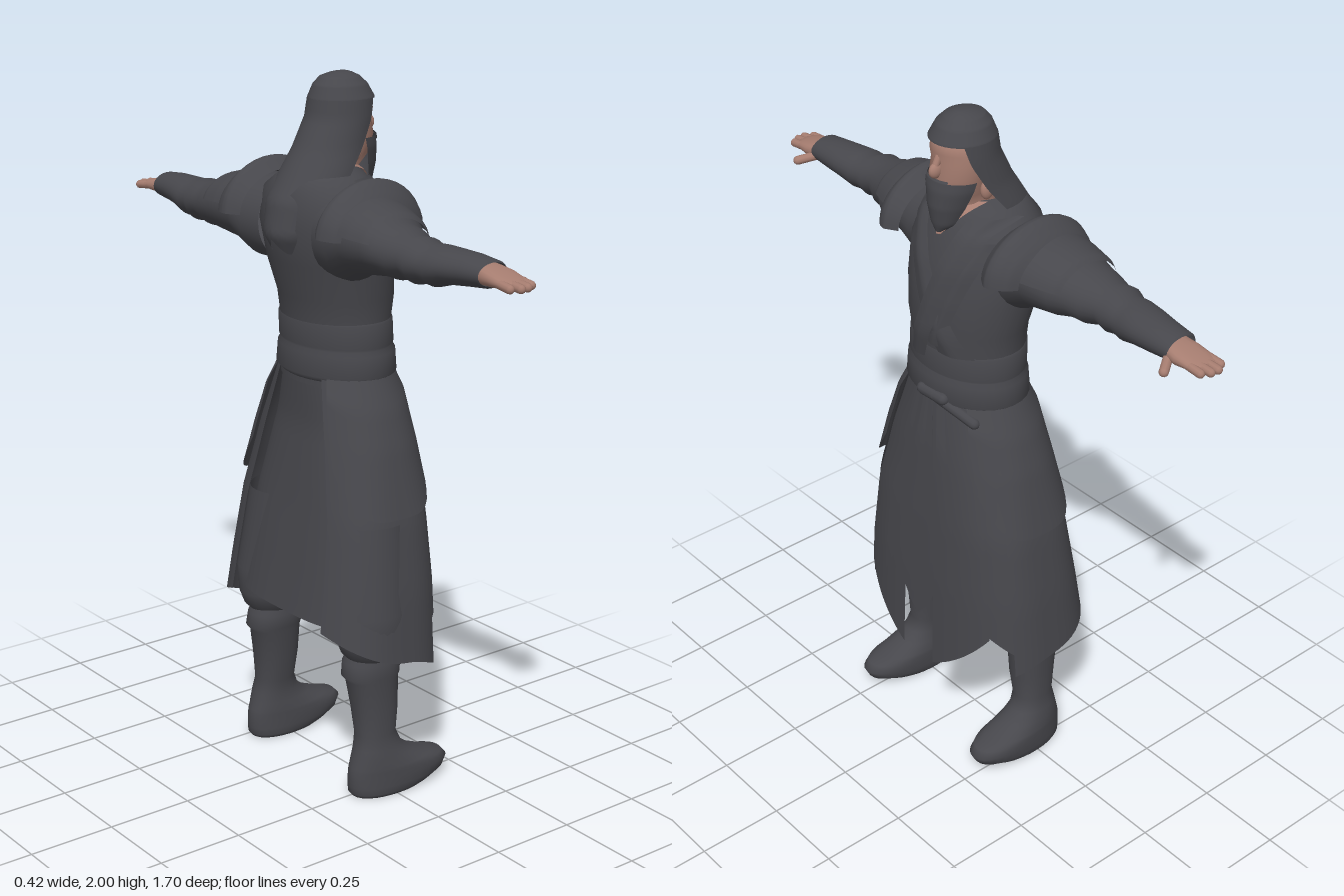
import * as THREE from 'three';
import { mergeVertices } from 'three/addons/utils/BufferGeometryUtils.js';

const cloth = new THREE.MeshStandardMaterial({ color: 0x47474c, side: THREE.DoubleSide });
cloth.name = 'charcoal cloth';
const skin = new THREE.MeshStandardMaterial({ color: 0xa67d70, side: THREE.DoubleSide });
skin.name = 'skin';

const rad = THREE.MathUtils.degToRad;
const lerp = THREE.MathUtils.lerp;
const spow = (v, e) => Math.sign(v) * Math.abs(v) ** e;

// Profiles are rows of [height, half width, front z, back z, centre x], top first
const TORSO = [[1.755, 0.075, 0.06, -0.1], [1.735, 0.115, 0.088, -0.135], [1.69, 0.18, 0.115, -0.165],
  [1.6, 0.205, 0.148, -0.175], [1.5, 0.2, 0.163, -0.155], [1.4, 0.182, 0.17, -0.125],
  [1.3, 0.174, 0.155, -0.11], [1.16, 0.185, 0.155, -0.108]];
const BELT = [[1.345, 0.17, 0.15, -0.105], [1.335, 0.183, 0.163, -0.118], [1.27, 0.186, 0.165, -0.115],
  [1.262, 0.179, 0.158, -0.11], [1.25, 0.19, 0.17, -0.118], [1.19, 0.196, 0.173, -0.122], [1.175, 0.18, 0.155, -0.108]];
const SKIRT = [[1.2, 0.18, 0.16, -0.112], [1, 0.25, 0.176, -0.135], [0.8, 0.3, 0.191, -0.16],
  [0.6, 0.33, 0.203, -0.19], [0.32, 0.355, 0.212, -0.235]];
const HAIR = [[2, 0, 0.05, 0.05], [1.996, 0.025, 0.07, 0.012], [1.985, 0.05, 0.093, -0.02], [1.965, 0.07, 0.115, -0.038],
  [1.93, 0.087, 0.135, -0.052], [1.88, 0.092, 0.135, -0.06], [1.8, 0.1, 0.12, -0.1], [1.74, 0.112, 0.1, -0.138],
  [1.67, 0.12, 0.08, -0.182], [1.58, 0.105, 0.05, -0.198], [1.5, 0.06, 0, -0.16]];
const HEAD = [[1.97, 0.03, 0.08, 0], [1.93, 0.072, 0.125, -0.03], [1.9, 0.08, 0.13, -0.035], [1.87, 0.08, 0.124, -0.035],
  [1.83, 0.078, 0.133, -0.03], [1.78, 0.066, 0.122, -0.03], [1.74, 0.056, 0.085, -0.05], [1.66, 0.075, 0.1, -0.07]];
const BEARD = [[1.83, 0.082, 0.136, -0.03], [1.8, 0.078, 0.143, -0.025], [1.75, 0.062, 0.145, 0],
  [1.7, 0.04, 0.138, 0.05], [1.675, 0.01, 0.13, 0.1]];
const ARM = [[0.725, 0.03, 0.002, -0.096, 0.01], [0.72, 0.036, 0.004, -0.1, 0.01], [0.66, 0.042, 0.008, -0.108, 0.01],
  [0.6, 0.046, 0.01, -0.122, 0.012], [0.55, 0.055, 0.005, -0.13, 0.018], [0.52, 0.051, 0, -0.13, 0.018],
  [0.49, 0.061, 0.005, -0.142, 0.016], [0.46, 0.056, 0, -0.138, 0.014], [0.42, 0.068, 0.02, -0.148, 0.012],
  [0.38, 0.07, 0.03, -0.155, 0.008], [0.34, 0.083, 0.055, -0.162, 0.002], [0.25, 0.1, 0.07, -0.165, -0.002],
  [0.19, 0.117, 0.078, -0.165, 0.012], [0.12, 0.12, 0.08, -0.15, 0.012]];
const PALM = [[0.82, 0, -0.045, -0.045, 0.021], [0.815, 0.01, -0.01, -0.082, 0.021], [0.79, 0.015, 0, -0.09, 0.018],
  [0.75, 0.022, 0.006, -0.09, 0.015], [0.715, 0.026, 0.002, -0.085, 0.013], [0.68, 0.03, -0.005, -0.085, 0.012]];
const PAULDRON = [[0.275, 0.1, 0.09, -0.17], [0.262, 0.115, 0.115, -0.185], [0.24, 0.136, 0.135, -0.195],
  [0.222, 0.148, 0.145, -0.2], [0.205, 0.145, 0.148, -0.2], [0.17, 0.115, 0.125, -0.175]];
const CAP = [[0.375, 0.072, 0.04, -0.16], [0.36, 0.084, 0.055, -0.168], [0.3, 0.1, 0.078, -0.178], [0.24, 0.113, 0.095, -0.182]];
const TROUSER = [[0.8, 0.11, 0.1, -0.13, -0.05], [0.55, 0.095, 0.08, -0.15], [0.47, 0.094, 0.075, -0.145],
  [0.43, 0.08, 0.06, -0.13], [0.4, 0.05, 0.03, -0.1]];
const BOOT = [[0.45, 0.05, 0.03, -0.1, -0.018], [0.4, 0.066, 0.047, -0.122, -0.018], [0.36, 0.066, 0.045, -0.128, -0.015],
  [0.345, 0.06, 0.04, -0.115, -0.015], [0.26, 0.058, 0.036, -0.1, -0.01], [0.18, 0.05, 0.028, -0.092, -0.005],
  [0.14, 0.054, 0.045, -0.1], [0.11, 0.06, 0.085, -0.108], [0.085, 0.066, 0.15, -0.115], [0.075, 0.068, 0.19, -0.118],
  [0.055, 0.069, 0.208, -0.12], [0.03, 0.069, 0.195, -0.12], [0.01, 0.066, 0.15, -0.118], [0, 0.06, 0.12, -0.11], [0, 0, 0.015, 0.015]];

function rowAt(profile, y) {
  let i = 0;
  while (i < profile.length - 2 && y < profile[i + 1][0]) i++;
  const [p, q] = [profile[i], profile[i + 1]];
  const t = THREE.MathUtils.clamp((y - p[0]) / (q[0] - p[0]), 0, 1);
  return [y, 1, 2, 3, 4].map((k, n) => (n ? lerp(p[n] ?? 0, q[n] ?? 0, t) : y));
}

// Point of a cross-section at angle a (0 = front), e below 1 makes it boxier
function ringPoint(r, a, e, off) {
  const rz = (r[2] - r[3]) / 2 + off;
  return [(r[4] ?? 0) + (r[1] + off) * spow(Math.sin(a), e), r[0], (r[2] + r[3]) / 2 + rz * spow(Math.cos(a), e)];
}

// Grid surface from a rule of (u, v), v running downwards
function surface(name, material, nu, nv, rule) {
  let g = new THREE.PlaneGeometry(1, 1, nu, nv);
  const { position, uv } = g.attributes;
  for (let i = 0; i < position.count; i++) position.setXYZ(i, ...rule(uv.getX(i), 1 - uv.getY(i)));
  g.deleteAttribute('uv');
  g.deleteAttribute('normal');
  g = mergeVertices(g, 1e-5);
  g.computeVertexNormals();
  const m = new THREE.Mesh(g, material);
  m.name = name;
  return m;
}

// Closed tube through every row of a profile
const loft = (name, material, profile, e = 1, nu = 32) =>
  surface(name, material, nu, profile.length - 1, (u, v) =>
    ringPoint(profile[Math.round(v * (profile.length - 1))], (u * 2 - 1) * Math.PI, e, 0));

// Open sheet lying on a profile; angles in degrees, hem may depend on u, half spread on v
const sheet = (name, profile, mid, half, top, hem, off = 0, boxy = () => 1, nu = 18, nv = 20) =>
  surface(name, cloth, nu, nv, (u, v) => {
    const h = typeof half === 'function' ? half(v) : half;
    const y = lerp(top, typeof hem === 'function' ? hem(u) : hem, v);
    return ringPoint(rowAt(profile, y), rad(mid + (u * 2 - 1) * h), boxy(y), off * Math.min(1, 0.3 + 3 * v));
  });

// The skirt is oval at the waist and boxy at the hem
const skirtShape = (y) => lerp(0.7, 1, THREE.MathUtils.clamp((y - 0.8) / 0.4, 0, 1));
const skirtSheet = (name, mid, half, top, hem, off, nu) => sheet(name, SKIRT, mid, half, top, hem, off, skirtShape, nu);

// Flat band laid over the chest from p to q
const band = (name, material, p, q, w0, w1, off) => surface(name, material, 6, 14, (u, v) => {
  const x = lerp(p[0], q[0], v) + (u - 0.5) * lerp(w0, w1, v);
  const r = rowAt(TORSO, lerp(p[1], q[1], v));
  const k = Math.sqrt(Math.max(0, 1 - (x / (r[1] + off)) ** 2));
  return [x, r[0], (r[2] + r[3]) / 2 + ((r[2] - r[3]) / 2 + off) * k - 0.008 * Math.abs(u * 2 - 1)];
});

// Rounded rod between two points
function rod(name, a, b, r, material) {
  const [p, q] = [new THREE.Vector3(...a), new THREE.Vector3(...b)];
  const m = new THREE.Mesh(new THREE.CapsuleGeometry(r, p.distanceTo(q), 4, 10), material);
  m.position.copy(p).lerp(q, 0.5);
  m.quaternion.setFromUnitVectors(new THREE.Vector3(0, 1, 0), q.sub(p).normalize());
  m.name = name;
  return m;
}

function ball(name, material, pos, scale) {
  const m = new THREE.Mesh(new THREE.SphereGeometry(1, 16, 12), material);
  m.position.set(...pos);
  m.scale.set(...scale);
  m.name = name;
  return m;
}

function named(name, ...parts) {
  const g = new THREE.Group();
  g.name = name;
  return g.add(...parts);
}

function mirrored(name, half) {
  const other = half.clone();
  other.scale.x = -1;
  return named(name, half, other);
}

function makeArm() {
  // Sleeve, armour and palm are lofted upright, then laid along x
  const sleeve = named('sleeve',
    loft('sleeveCloth', cloth, ARM, 1, 28),
    loft('palm', skin, PALM, 0.8, 20),
    sheet('shoulderRidge', PAULDRON, -90, 88, 0.275, 0.17),
    sheet('shoulderPlate', CAP, -90, 78, 0.375, 0.24));
  sleeve.rotation.z = -Math.PI / 2;
  sleeve.position.y = 1.6;
  const fingers = named('fingers', rod('thumb', [0.715, 1.578, -0.015], [0.748, 1.564, 0.034], 0.013, skin));
  [-0.078, -0.056, -0.034, -0.012].forEach((z, i) =>
    fingers.add(rod('finger', [0.78, 1.582, z], [[0.825, 0.84, 0.838, 0.825][i], 1.577, z * 1.04], 0.012, skin)));
  return named('arm', sleeve, fingers);
}

const makeSkirtHalf = () => named('skirtSide',
  skirtSheet('frontPanel', 24, 19, 1.2, (u) => 0.31 + 0.18 * u, 0.006),
  skirtSheet('frontSidePanel', 51, 14, 1.19, (u) => 0.5 - 0.07 * u, -0.006),
  skirtSheet('sidePanel', 106, 44, 1.2, (u) => 0.37 + 0.13 * u, 0.004),
  skirtSheet('hipFlap', 92, 52, 1.19, (u) => 0.82 + 0.14 * Math.abs(u * 2 - 1) ** 3, 0.02),
  skirtSheet('frontFold', 14, 4, 1.19, (u) => 0.62 - 0.1 * u, 0.014, 4));

function makeHead() {
  return named('head',
    loft('face', skin, HEAD),
    ball('nose', skin, [0, 1.852, 0.132], [0.014, 0.022, 0.022]),
    rod('noseBridge', [0, 1.888, 0.122], [0, 1.86, 0.136], 0.01, skin),
    ...[-1, 1].map((s) => ball('ear', skin, [s * 0.08, 1.795, 0.028], [0.014, 0.028, 0.02])),
    sheet('beard', BEARD, 0, (v) => 84 - 10 * v, 1.825, 1.675, 0.002),
    sheet('moustache', BEARD, 0, 30, 1.832, 1.81, 0.005),
    sheet('hairCrown', HAIR, 180, 180, 2, 1.928, 0, undefined, 32, 24),
    sheet('longHair', HAIR, 180, (v) => 126 - 60 * v, 1.93, (u) => 1.57 - 0.04 * Math.abs(Math.sin(u * 2 * Math.PI)), 0, undefined, 28, 24));
}

export function createModel() {
  const body = named('robedFigure',
    makeHead(),
    loft('torso', cloth, TORSO),
    band('bareNeck', skin, [0, 1.755], [0, 1.67], 0.15, 0.02, 0.012),
    band('underLapel', cloth, [-0.12, 1.73], [0.09, 1.34], 0.08, 0.1, 0.014),
    band('overLapel', cloth, [0.12, 1.73], [-0.035, 1.31], 0.08, 0.06, 0.025),
    band('lapelFold', cloth, [0.14, 1.68], [0.03, 1.36], 0.06, 0.05, 0.014),
    loft('belt', cloth, BELT),
    mirrored('arms', makeArm()),
    mirrored('skirtSides', makeSkirtHalf()));

  // Inner and recessed back layers of the skirt, with the hanging sash
  body.add(
    skirtSheet('innerSkirt', 0, 180, 1.2, 0.5, -0.035, 48),
    skirtSheet('centrePanel', 0, 6, 1.2, (u) => 0.46 + 0.1 * Math.abs(u * 2 - 1), 0.012, 6),
    skirtSheet('sashTail', 0, 1.5, 1.2, 0.53, 0.018, 4),
    rod('sashKnot', [-0.02, 1.2, 0.168], [0.06, 1.2, 0.164], 0.018, cloth),
    rod('sashEnd', [0.03, 1.2, 0.168], [0.15, 1.15, 0.13], 0.016, cloth));

  // Legs stand slightly off the centre line
  const trouser = loft('trouserLeg', cloth, TROUSER);
  const boot = loft('boot', cloth, BOOT, 0.9);
  trouser.position.x = 0.232;
  boot.position.x = 0.247;
  boot.rotation.y = 0.04;
  const legs = mirrored('legs', named('leg', trouser, boot));
  legs.position.x = -0.015;
  body.add(legs);

  // The figure looks along +x
  body.rotation.y = Math.PI / 2;
  return named('model', body);
}
